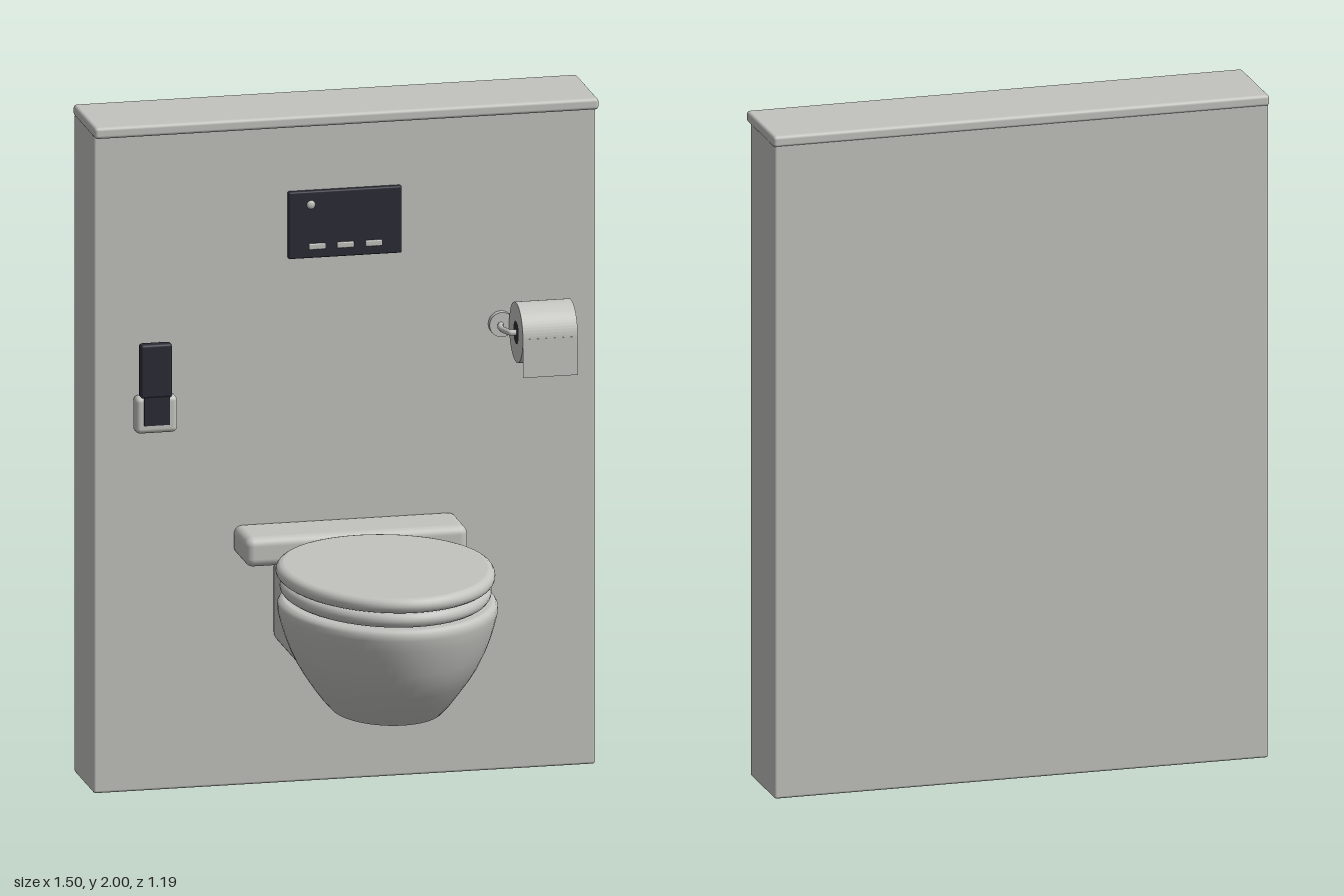
import * as THREE from 'three';
import { RoundedBoxGeometry } from 'three/addons/geometries/RoundedBoxGeometry.js';

const ceramic = new THREE.MeshStandardMaterial({ color: 0xc3c3bf });
ceramic.name = 'paleGrey';
const dark = new THREE.MeshStandardMaterial({ color: 0x2b2b36 });
dark.name = 'darkGrey';
const paper = new THREE.MeshStandardMaterial({ color: 0xc5c5c1, side: THREE.DoubleSide });
paper.name = 'paper';

function add(parent, name, geometry, material, x = 0, y = 0, z = 0) {
  const mesh = new THREE.Mesh(geometry, material);
  mesh.name = name;
  mesh.position.set(x, y, z);
  parent.add(mesh);
  return mesh;
}

// Rounded box given by its extents on each axis
function box(parent, name, material, [x0, x1], [y0, y1], [z0, z1], radius) {
  return add(parent, name, new RoundedBoxGeometry(x1 - x0, y1 - y0, z1 - z0, 4, radius), material,
    (x0 + x1) / 2, (y0 + y1) / 2, (z0 + z1) / 2);
}

// Egg-shaped cross-sections [y, halfWidth, zFront, zBack] joined from bottom to top, with flat caps
function eggLoft(sections, n = 64) {
  const pos = [], idx = [];
  const ring = ([y, w, zf, zb]) => {
    const zc = zb + 0.45 * (zf - zb);
    for (let j = 0; j < n; j++) {
      const t = (j / n) * Math.PI * 2, c = Math.cos(t);
      pos.push(w * Math.sin(t), y, zc + c * (c > 0 ? zf - zc : zc - zb));
    }
  };
  sections.forEach(ring);
  for (let i = 0; i < sections.length - 1; i++) {
    for (let j = 0; j < n; j++) {
      const k = (j + 1) % n, a = i * n + j, b = i * n + k;
      idx.push(a, b, b + n, a, b + n, a + n);
    }
  }
  for (const top of [false, true]) {
    const s = top ? sections[sections.length - 1] : sections[0];
    const base = pos.length / 3;
    ring(s);
    pos.push(0, s[0], (s[2] + s[3]) / 2);
    for (let j = 0; j < n; j++) {
      const a = base + j, b = base + (j + 1) % n;
      idx.push(base + n, ...(top ? [a, b] : [b, a]));
    }
  }
  const g = new THREE.BufferGeometry();
  g.setAttribute('position', new THREE.Float32BufferAttribute(pos, 3));
  g.setIndex(idx);
  g.computeVertexNormals();
  return g;
}

// Egg-shaped slab with a fully rounded rim
function eggSlab(y0, y1, w, zf, zb) {
  const r = (y1 - y0) / 2, sections = [];
  for (let i = 0; i <= 8; i++) {
    const a = (i / 8 - 0.5) * Math.PI, d = r * (1 - Math.cos(a));
    sections.push([(y0 + y1) / 2 + r * Math.sin(a), w - d, zf - d, zb + d]);
  }
  return eggLoft(sections);
}

export function createModel() {
  const model = new THREE.Group();
  model.name = 'wallHungToilet';

  // Wall panel with its overhanging cap
  box(model, 'wallPanel', ceramic, [-0.745, 0.745], [0, 1.975], [-0.595, -0.345], 0.008);
  box(model, 'wallCap', ceramic, [-0.748, 0.748], [1.966, 2], [-0.597, -0.314], 0.01);

  // Flush plate
  const flush = new THREE.Group();
  flush.name = 'flushPlate';
  model.add(flush);
  box(flush, 'plate', dark, [-0.17, 0.166], [1.57, 1.77], [-0.347, -0.326], 0.005);
  for (const x of [-0.086, -0.002, 0.082]) {
    box(flush, 'flushButton', ceramic, [x - 0.025, x + 0.025], [1.596, 1.614], [-0.33, -0.321], 0.004);
  }
  add(flush, 'indicator', new THREE.SphereGeometry(0.013, 12, 8), ceramic, -0.104, 1.73, -0.326).scale.z = 0.5;

  // Remote control in a wall cradle
  const remote = new THREE.Group();
  remote.name = 'remoteControl';
  model.add(remote);
  box(remote, 'handset', dark, [-0.614, -0.521], [1.11, 1.345], [-0.335, -0.302], 0.008);
  box(remote, 'cradle', ceramic, [-0.63, -0.506], [1.08, 1.19], [-0.345, -0.297], 0.015);
  add(remote, 'handsetFront', new THREE.BoxGeometry(0.076, 0.085, 0.006), dark, -0.568, 1.1475, -0.297);

  // Paper holder: wall rose, bent arm, roll, core and hanging sheet
  const holder = new THREE.Group();
  holder.name = 'paperHolder';
  model.add(holder);
  const ry = 1.337, rz = -0.233;
  add(holder, 'rose', new THREE.CylinderGeometry(0.037, 0.037, 0.02, 32), ceramic, 0.463, ry, -0.335).rotation.x = Math.PI / 2;
  const armPath = new THREE.CurvePath();
  const bend = [[0.463, -0.34], [0.452, -0.3], [0.452, -0.275], [0.466, rz], [0.656, rz]]
    .map(([x, z]) => new THREE.Vector3(x, ry, z));
  for (let i = 0; i < bend.length - 1; i++) armPath.add(new THREE.LineCurve3(bend[i], bend[i + 1]));
  add(holder, 'arm', new THREE.TubeGeometry(armPath, 48, 0.009, 10), ceramic);
  add(holder, 'armTip', new THREE.SphereGeometry(0.011, 12, 8), ceramic, 0.654, ry, rz);

  const tube = new THREE.Shape().absarc(0, 0, 0.089, 0, Math.PI * 2);
  tube.holes.push(new THREE.Path().absarc(0, 0, 0.034, 0, Math.PI * 2, true));
  const rollGeometry = new THREE.ExtrudeGeometry(tube, { depth: 0.163, bevelEnabled: false, curveSegments: 32 });
  add(holder, 'paperRoll', rollGeometry, paper, 0.483, ry, rz).rotation.y = Math.PI / 2;
  add(holder, 'rollCore', new THREE.CylinderGeometry(0.034, 0.034, 0.164, 32), dark, 0.565, ry, rz).rotation.z = Math.PI / 2;
  add(holder, 'hangingSheet', new THREE.BoxGeometry(0.163, 0.115, 0.003), paper, 0.5645, 1.281, -0.1445);

  // Toilet: neck, shelf, bowl, seat and lid
  const toilet = new THREE.Group();
  toilet.name = 'toilet';
  model.add(toilet);
  box(toilet, 'neck', ceramic, [-0.213, 0.213], [0.425, 0.682], [-0.36, 0], 0.03);
  box(toilet, 'rearShelf', ceramic, [-0.33, 0.33], [0.692, 0.78], [-0.36, -0.18], 0.025);
  add(toilet, 'bowl', eggLoft([
    [0.355, 0.16, 0.405, 0.02],
    [0.385, 0.187, 0.438, -0.012],
    [0.42, 0.213, 0.468, -0.038],
    [0.46, 0.24, 0.502, -0.06],
    [0.5, 0.263, 0.53, -0.077],
    [0.54, 0.282, 0.55, -0.092],
    [0.58, 0.297, 0.567, -0.105],
    [0.62, 0.309, 0.582, -0.117],
    [0.655, 0.317, 0.592, -0.125],
    [0.672, 0.317, 0.592, -0.125],
    [0.682, 0.311, 0.586, -0.12],
    [0.686, 0.3, 0.575, -0.11],
  ]), ceramic);
  add(toilet, 'seatSupport', eggLoft([[0.68, 0.27, 0.54, -0.11], [0.745, 0.27, 0.54, -0.11]]), ceramic);
  add(toilet, 'seat', eggSlab(0.69, 0.734, 0.303, 0.58, -0.16), ceramic);
  add(toilet, 'lid', eggSlab(0.736, 0.78, 0.314, 0.592, -0.176), ceramic);

  return model;
}
